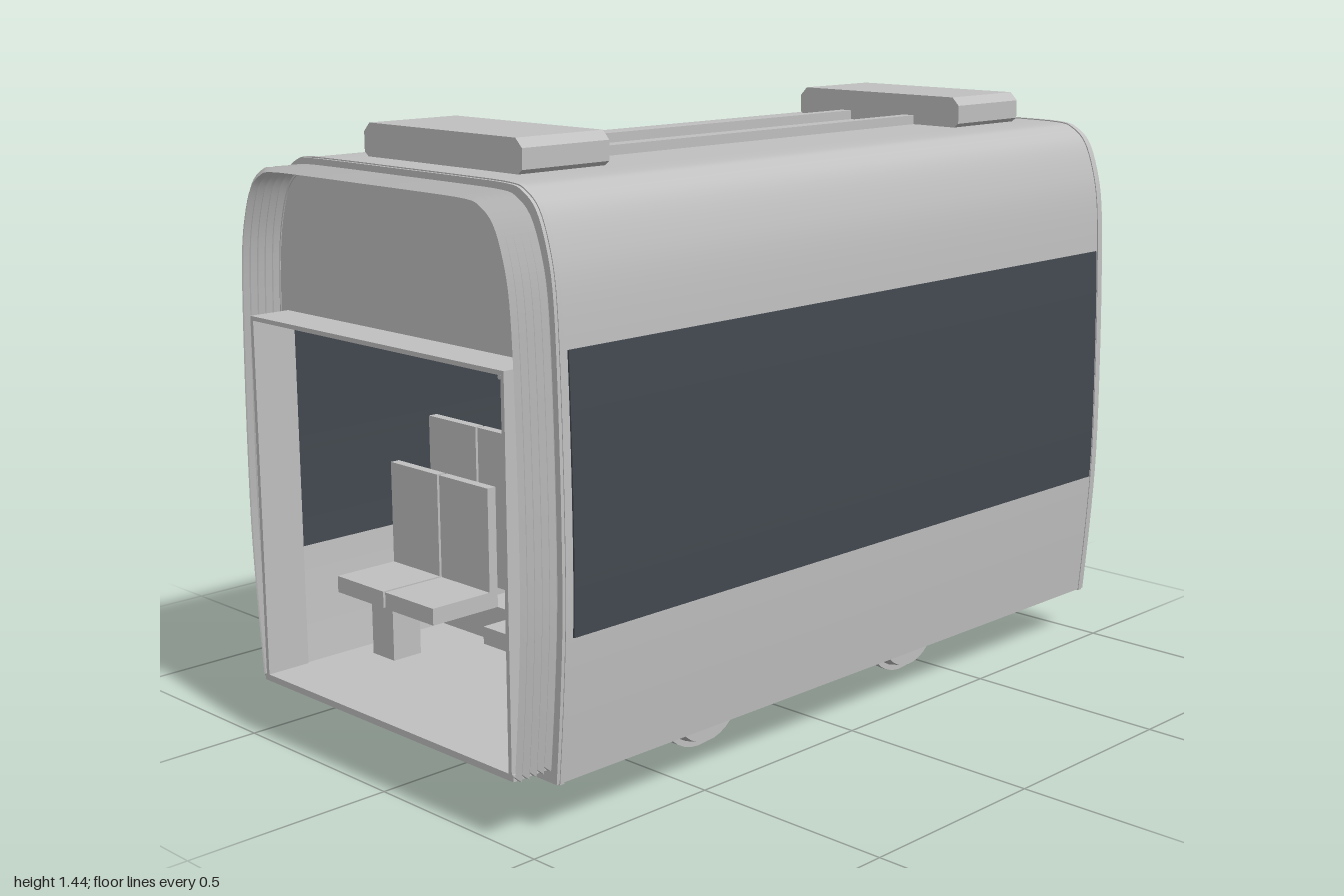
import * as THREE from 'three';
import { toCreasedNormals } from 'three/addons/utils/BufferGeometryUtils.js';

const grey = new THREE.MeshStandardMaterial({ color: 0xc0c0c0, side: THREE.DoubleSide });
grey.name = 'light grey';
const glass = new THREE.MeshStandardMaterial({ color: 0x434950 });
glass.name = 'dark glass';

// right half of the body cross-section, bottom to top
const V = (x, y) => new THREE.Vector2(x, y);
const half = new THREE.SplineCurve([
  V(0.46, 0.12), V(0.475, 0.3), V(0.486, 0.5), V(0.486, 0.75), V(0.48, 1.0), V(0.471, 1.16),
  V(0.453, 1.25), V(0.425, 1.318), V(0.385, 1.352), V(0.34, 1.363), V(0.2, 1.365), V(0, 1.365),
]).getPoints(44);

const mirrored = (pts) => [...pts, ...pts.map((p) => V(-p.x, p.y)).reverse()];
const insideHalf = half.map((p) => V(p.x * 0.962, 0.16 + ((p.y - 0.12) / 1.245) * 1.178));

// width of a half section at a height
function widthAt(pts, y) {
  for (let i = 1; i < pts.length; i++) {
    const a = pts[i - 1], b = pts[i];
    if (y <= b.y) return a.x + ((b.x - a.x) * (y - a.y)) / (b.y - a.y);
  }
  return 0;
}

function extrude(shape, z0, z1) {
  const g = new THREE.ExtrudeGeometry(shape, { depth: z1 - z0, bevelEnabled: false });
  g.translate(0, 0, z0);
  return toCreasedNormals(g, 0.5);
}

export function createModel() {
  const model = new THREE.Group();
  const add = (name, geo, mat = grey) => {
    const m = new THREE.Mesh(geo, mat);
    m.name = name;
    model.add(m);
    return m;
  };
  // box given by its limits
  const box = (name, x0, x1, y0, y1, z0, z1, mat) => {
    const g = new THREE.BoxGeometry(x1 - x0, y1 - y0, z1 - z0);
    g.translate((x0 + x1) / 2, (y0 + y1) / 2, (z0 + z1) / 2);
    return add(name, g, mat);
  };
  // cylinder lying along x
  const axleCylinder = (name, r0, r1, x0, x1, y, z, n = 32) => {
    const g = new THREE.CylinderGeometry(r0, r1, x1 - x0, n);
    g.rotateZ(-Math.PI / 2);
    g.translate((x0 + x1) / 2, y, z);
    return add(name, g);
  };

  // hollow body shell with floor
  const shell = new THREE.Shape(mirrored(half));
  shell.holes.push(new THREE.Path(mirrored(insideHalf).reverse()));
  add('bodyShell', extrude(shell, -1, 0.9));

  // rounded rims at both ends of the body
  for (const z of [-0.99, 0.88]) {
    const grow = (s) => mirrored(half.map((p) => V(p.x * s, 0.74 + (p.y - 0.74) * s)));
    const rim = new THREE.Shape(grow(1.004));
    rim.holes.push(new THREE.Path(grow(0.99).reverse()));
    add('endRim', extrude(rim, z, z + 0.012));
  }

  // side windows, an outer and an inner pane on each side
  for (const s of [-1, 1]) {
    for (const [pts, off] of [[half, 0.003], [insideHalf, -0.003]]) {
      const a = [], b = [];
      for (let i = 0; i <= 12; i++) {
        const y = 0.44 + 0.05 * i, x = widthAt(pts, y) + off;
        a.push(V(s * (x + 0.001), y));
        b.push(V(s * (x - 0.003), y));
      }
      add('sideWindow', extrude(new THREE.Shape([...a, ...b.reverse()]), -0.97, 0.87), glass);
    }
  }

  // end walls above the doorways
  for (const z of [-0.998, 0.888]) {
    const top = insideHalf.filter((p) => p.y > 0.84).map((p) => V(p.x * 1.01, p.y + 0.004));
    const wall = new THREE.Shape(mirrored(top));
    wall.quadraticCurveTo(-0.45, 1.0, -0.36, 1.005);
    wall.lineTo(0.36, 1.005);
    wall.quadraticCurveTo(0.45, 1.0, top[0].x, top[0].y);
    add('endWall', extrude(wall, z, z + 0.01));
  }

  // folded bellows at the front
  const pos = [], index = [], rings = 10;
  const ringPts = mirrored(half), n = ringPts.length;
  for (let k = 0; k <= rings; k++) {
    const d = k % 2 ? 0 : 0.012;
    for (const p of ringPts) {
      pos.push(p.x * (0.988 - d * 1.6), 0.752 + (p.y - 0.7425) * (0.965 - d * 1.4), 0.9 + (0.1 * k) / rings);
    }
  }
  for (let k = 0; k < rings; k++) {
    for (let i = 0; i < n; i++) {
      const a = k * n + i, b = k * n + ((i + 1) % n);
      index.push(a, b, b + n, a, b + n, a + n);
    }
  }
  const bellows = new THREE.BufferGeometry();
  bellows.setAttribute('position', new THREE.Float32BufferAttribute(pos, 3));
  bellows.setIndex(index);
  add('bellows', toCreasedNormals(bellows, 0.5));

  // passage lining inside the bellows
  box('passageFloor', -0.44, 0.44, 0.15, 0.165, 0.89, 1);
  box('passageCeiling', -0.435, 0.435, 1.0, 1.01, 0.89, 1);
  for (const s of [-1, 1]) box('passageSide', s * 0.43 - 0.005, s * 0.43 + 0.005, 0.16, 1.0, 0.89, 1);

  // roof units with chamfered corners, joined by two rails
  for (const z of [0.55, -0.9]) {
    const c = V(0.265, 0.02);
    const unit = new THREE.Shape(mirrored([
      V(c.x - c.y, 1.36), V(c.x, 1.375), V(c.x, 1.42), V(c.x - c.y, 1.44),
    ]));
    add('roofUnit', extrude(unit, z, z + 0.245));
  }
  for (const x of [-0.105, 0.105]) box('roofRail', x - 0.016, x + 0.016, 1.36, 1.388, -0.66, 0.56);

  // seats: backrest position, facing direction, backrest top
  const rows = [[0.6, 1, 0.6], [0.48, -1, 0.695], [-0.58, 1, 0.695], [-0.7, -1, 0.695]];
  for (const [z, dir, top] of rows) {
    const za = Math.min(z, z + dir * 0.18), zb = Math.max(z, z + dir * 0.18);
    for (const s of [-1, 1]) {
      for (const x of [0.177, 0.361]) {
        box('seatCushion', s * x - 0.088, s * x + 0.088, 0.31, 0.35, za, zb);
        box('seatBack', s * x - 0.088, s * x + 0.088, 0.31, top, z - 0.012, z + 0.012);
      }
      box('seatPedestal', s * 0.345 - 0.04, s * 0.345 + 0.04, 0.16, 0.312, za + 0.05, zb - 0.05);
    }
  }

  // ceiling display and hand rails
  box('displayCase', -0.125, 0.125, 0.885, 0.975, -0.07, -0.03);
  for (const z of [-0.073, -0.03]) box('displayScreen', -0.114, 0.114, 0.892, 0.967, z, z + 0.003, glass);
  box('displayPole', -0.006, 0.006, 0.97, 1.34, -0.056, -0.044);
  for (const x of [-0.172, 0.172]) {
    const rail = new THREE.CylinderGeometry(0.006, 0.006, 1.1, 8);
    rail.rotateX(Math.PI / 2);
    rail.translate(x, 0.833, -0.05);
    add('handRail', rail);
  }

  // running gear, with raised floor above each wheelset
  for (const [z, dir] of [[0.32, -1], [-0.415, 1]]) {
    for (const s of [-1, 1]) {
      box('wheelPlatform', s * 0.26 - 0.18, s * 0.26 + 0.18, 0.155, 0.25, z - 0.15, z + 0.15);
      const tread = s > 0 ? [0.3, 0.335] : [-0.335, -0.3];
      axleCylinder('wheelTread', s > 0 ? 0.105 : 0.112, s > 0 ? 0.112 : 0.105, ...tread, 0.125, z);
      axleCylinder('wheelFlange', 0.125, 0.125, s * 0.296 - 0.009, s * 0.296 + 0.009, 0.125, z);
      axleCylinder('brakeDisc', 0.075, 0.075, s * 0.195 - 0.01, s * 0.195 + 0.01, 0.125, z);
      box('axleBox', s * 0.357 - 0.022, s * 0.357 + 0.022, 0.095, 0.13, z - 0.055, z + 0.055);
    }
    axleCylinder('axle', 0.014, 0.014, -0.36, 0.36, 0.11, z, 12);
    const shift = dir * 0.025;
    axleCylinder('motor', 0.052, 0.052, -0.145 + shift, 0.145 + shift, 0.125, z + dir * 0.185, 8);
  }
  box('aisleStep', -0.081, 0.081, 0.155, 0.213, -0.5, 0.4);
  return model;
}
